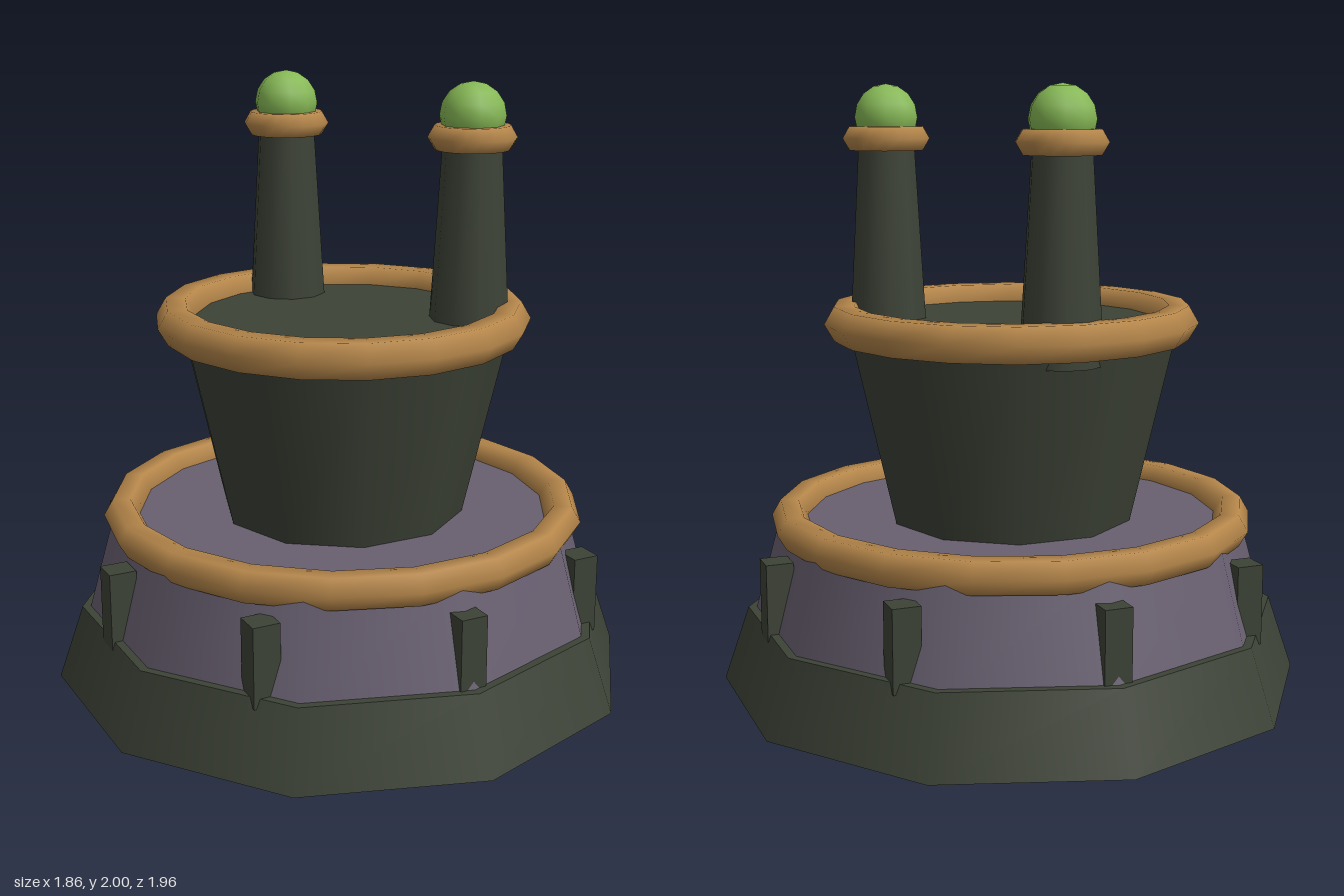
import * as THREE from 'three';

const mat = (name, color) => {
  const m = new THREE.MeshStandardMaterial({ color });
  m.name = name;
  return m;
};

export function createModel() {
  const model = new THREE.Group();
  const iron = mat('dark iron', 0x3d4337);
  const plum = mat('plum grey', 0x685f70);
  const brass = mat('brass', 0xb5864a);
  const green = mat('green glow', 0x86b855);

  const add = (name, geometry, material, x, y, z, parent = model) => {
    const mesh = new THREE.Mesh(geometry, material);
    mesh.name = name;
    mesh.position.set(x, y, z);
    parent.add(mesh);
    return mesh;
  };

  // Ten-sided tapered drum from y0 to y1; turn puts a corner on the x axis
  const drum = (name, material, rBottom, rTop, y0, y1, turn = 0, x = 0, z = 0, parent = model) => {
    const g = new THREE.CylinderGeometry(rTop, rBottom, y1 - y0, 10).rotateY(turn);
    return add(name, g, material, x, (y0 + y1) / 2, z, parent);
  };

  // Flat-lying ring with a hexagonal section
  const ring = (name, radius, tube, y, turn = 0, x = 0, z = 0, parent = model) => {
    const g = new THREE.TorusGeometry(radius, tube, 6, 18).rotateX(Math.PI / 2).rotateY(turn);
    return add(name, g, brass, x, y, z, parent);
  };

  const quarter = Math.PI / 2;

  // Stacked body
  drum('base', iron, 0.98, 0.895, 0, 0.25);
  drum('lowerBody', plum, 0.875, 0.78, 0.22, 0.565);
  ring('lowerRing', 0.75, 0.06, 0.565);
  drum('upperDrum', iron, 0.405, 0.56, 0.55, 1.228, quarter);
  ring('upperRing', 0.556, 0.066, 1.228, quarter);

  // Eight upright braces around the lower body, all square to the axes
  for (let i = 0; i < 8; i++) {
    const a = (i * Math.PI) / 4;
    add('brace', new THREE.BoxGeometry(0.09, 0.265, 0.09), iron,
      0.815 * Math.sin(a), 0.35, 0.815 * Math.cos(a));
  }

  // Two chimneys, each with a collar and a glowing ball
  for (const [x, z] of [[0, -0.42], [0.36, 0.21]]) {
    const chimney = new THREE.Group();
    chimney.name = 'chimney';
    chimney.position.set(x, 0, z);
    model.add(chimney);
    drum('stack', iron, 0.136, 0.094, 1.14, 1.84, quarter, 0, 0, chimney);
    ring('collar', 0.1, 0.045, 1.823, quarter, 0, 0, chimney);
    add('ball', new THREE.SphereGeometry(0.108, 10, 8), green, 0, 1.892, 0, chimney);
  }

  return model;
}
